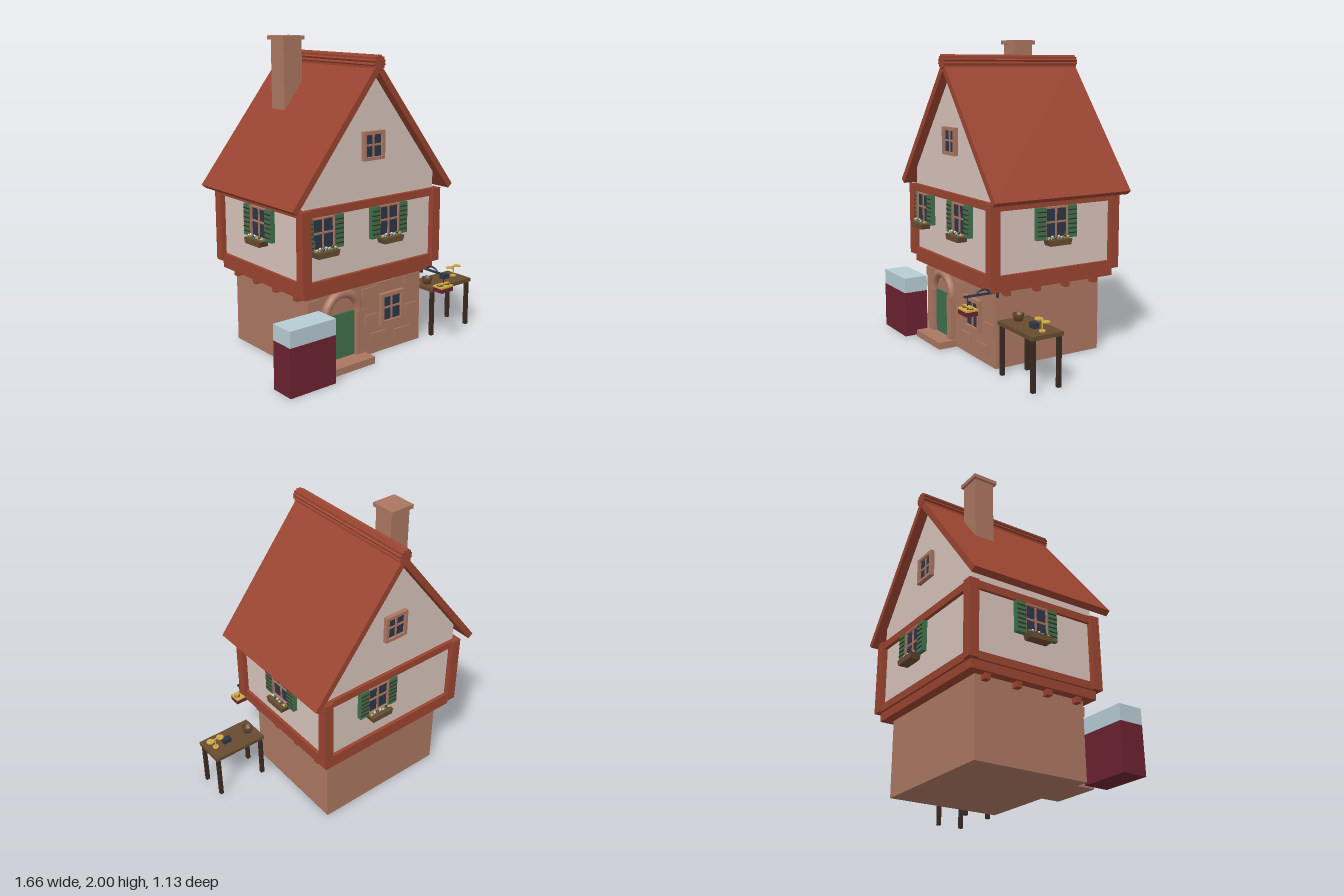
import * as THREE from 'three';

const mat = (name, color) => {
  const m = new THREE.MeshStandardMaterial({ color });
  m.name = name;
  return m;
};

export function createModel() {
  const timber = mat('red timber and tile', 0x9a4430);
  const plaster = mat('pale plaster', 0xd8c3bb);
  const stone = mat('brown stone', 0xab7762);
  const pane = mat('dark pane', 0x2d3647);
  const green = mat('green paint', 0x41704c);
  const wood = mat('brown wood', 0x674b2f);
  const darkWood = mat('dark wood', 0x3a2a20);
  const maroon = mat('maroon cloth', 0x6b2231);
  const glass = mat('pale glass', 0xb7ccd4);
  const brass = mat('brass', 0xd0ac45);

  const house = new THREE.Group();
  house.name = 'house';
  const CX = -0.095, CZ = -0.06;

  const add = (parent, name, geo, m, x = 0, y = 0, z = 0) => {
    const mesh = new THREE.Mesh(geo, m);
    mesh.name = name;
    mesh.position.set(x, y, z);
    parent.add(mesh);
    return mesh;
  };
  // box given by its limits on each axis
  const box = (parent, name, m, x0, x1, y0, y1, z0, z1) =>
    add(parent, name, new THREE.BoxGeometry(x1 - x0, y1 - y0, z1 - z0), m,
      (x0 + x1) / 2, (y0 + y1) / 2, (z0 + z1) / 2);
  const group = (name, x = 0, y = 0, z = 0, turn = 0) => {
    const g = new THREE.Group();
    g.name = name;
    g.position.set(x, y, z);
    g.rotation.y = turn;
    house.add(g);
    return g;
  };
  const extrude = (points, z0, z1) => {
    const shape = new THREE.Shape(points.map(([x, y]) => new THREE.Vector2(x, y)));
    return new THREE.ExtrudeGeometry(shape, { depth: z1 - z0, bevelEnabled: false }).translate(0, 0, z0);
  };

  // ground floor, upper floor and gable
  box(house, 'groundFloor', stone, -0.56, 0.37, 0, 0.5, -0.44, 0.33);
  box(house, 'upperFloor', plaster, CX - 0.52, CX + 0.52, 0.5, 1.04, CZ - 0.435, CZ + 0.435);
  add(house, 'gable', extrude([[-0.52, 1.03], [0.52, 1.03], [0.52, 1.15], [0, 1.81], [-0.52, 1.15]],
    CZ - 0.433, CZ + 0.433), plaster, CX);

  // relief stones on the front wall
  [[-0.56, 0.4, 0.09, 0.06], [-0.13, 0.39, 0.11, 0.06], [0.23, 0.41, 0.13, 0.07], [-0.11, 0.2, 0.1, 0.07],
    [0.24, 0.2, 0.11, 0.07], [-0.06, 0.08, 0.13, 0.06], [0.14, 0.06, 0.14, 0.06], [-0.02, 0.42, 0.16, 0.05]]
    .forEach(([x, y, w, h]) => box(house, 'wallStone', stone, x, x + w, y, y + h, 0.325, 0.339));

  // timber frame: beam rings, corner posts and joists
  const ring = (name, hx, hz, y0, y1, t) => {
    for (const s of [-1, 1]) {
      const x = CX + s * (hx - t / 2), z = CZ + s * (hz - t / 2);
      box(house, name, timber, CX - hx, CX + hx, y0, y1, z - t / 2, z + t / 2);
      box(house, name, timber, x - t / 2, x + t / 2, y0, y1, CZ - hz + t, CZ + hz - t);
    }
  };
  ring('sillBeam', 0.525, 0.443, 0.495, 0.552, 0.09);
  ring('lowerBeam', 0.54, 0.458, 0.55, 0.598, 0.06);
  ring('topBeam', 0.54, 0.458, 0.988, 1.037, 0.06);
  for (const sx of [-1, 1]) for (const sz of [-1, 1]) {
    const x = CX + sx * 0.523, z = CZ + sz * 0.441;
    box(house, 'cornerPost', timber, x - 0.032, x + 0.032, 0.55, 1.036, z - 0.032, z + 0.032);
  }
  for (const z of [0.265, 0.05, -0.165, -0.38])
    box(house, 'joist', timber, CX - 0.51, CX + 0.51, 0.46, 0.5, z - 0.018, z + 0.018);
  box(house, 'floorUnderside', timber, CX - 0.5, CX + 0.5, 0.497, 0.51, CZ - 0.42, CZ + 0.42);

  // roof chevron with lumpy ridge
  add(house, 'roof', extrude([[-0.64, 1.055], [-0.608, 1.03], [0, 1.8], [0.608, 1.03], [0.64, 1.055], [0, 1.865]],
    -0.555, 0.432), timber, CX);
  const ridge = group('ridge', CX, 1.857, CZ);
  for (const a of [0, Math.PI / 6, Math.PI / 3])
    add(ridge, 'ridgeTile', new THREE.BoxGeometry(0.066, 0.066, 1.0), timber).rotation.z = a;

  // chimney
  box(house, 'chimney', stone, -0.35, -0.212, 1.3, 1.98, -0.302, -0.165);
  box(house, 'chimneyCap', stone, -0.366, -0.2, 1.974, 2, -0.318, -0.15);

  // window facing +z, centred on its own origin
  const windowUnit = (parent, w, h, rim) => {
    const hw = w / 2, hh = h / 2;
    box(parent, 'pane', pane, -hw + 0.005, hw - 0.005, -hh + 0.005, hh - 0.005, 0, 0.012);
    for (const s of [-1, 1]) {
      const x = s * (hw - rim / 2), y = s * (hh - rim / 2);
      box(parent, 'frameSide', stone, x - rim / 2, x + rim / 2, -hh, hh, -0.005, 0.028);
      box(parent, 'frameRail', stone, -hw + rim, hw - rim, y - rim / 2, y + rim / 2, -0.005, 0.028);
    }
    box(parent, 'mullion', stone, -0.006, 0.006, -hh, hh, 0, 0.018);
    box(parent, 'transom', stone, -hw, hw, -0.002, 0.01, 0, 0.018);
  };
  windowUnit(group('gableWindowFront', CX, 1.363, CZ + 0.433), 0.166, 0.176, 0.02);
  windowUnit(group('gableWindowBack', CX, 1.363, CZ - 0.433, Math.PI), 0.166, 0.176, 0.02);
  windowUnit(group('groundWindow', 0.108, 0.287, 0.33), 0.195, 0.207, 0.024);

  // shuttered windows with flower boxes
  const blooms = [brass, glass, maroon, glass, brass, pane, brass];
  const shuttered = (x, z, turn) => {
    const g = group('shutteredWindow', x, 0.885, z, turn);
    windowUnit(g, 0.17, 0.2, 0.01);
    for (const s of [-1, 1]) {
      const cx = s * 0.113;
      box(g, 'shutter', green, cx - 0.034, cx + 0.034, -0.1, 0.1, 0, 0.03);
      for (let i = 0; i < 6; i++) {
        const y = -0.072 + i * 0.029;
        box(g, 'louvreGap', darkWood, cx - 0.03, cx + 0.03, y - 0.003, y + 0.003, 0.029, 0.034);
      }
    }
    const trough = add(g, 'flowerBox', extrude([[-0.075, -0.135], [0.075, -0.135], [0.086, -0.1], [-0.086, -0.1]],
      0, 0.066), wood);
    trough.position.z = 0.005;
    blooms.forEach((m, i) => {
      const fx = -0.07 + i * 0.0233, fy = -0.088 + (i % 2) * 0.008;
      add(g, 'leaf', new THREE.IcosahedronGeometry(0.011, 0), green, fx, -0.098, 0.04);
      add(g, 'flower', new THREE.IcosahedronGeometry(0.009, 0), m, fx, fy, 0.046);
    });
  };
  shuttered(-0.485, CZ + 0.435, 0);
  shuttered(0.03, CZ + 0.435, 0);
  shuttered(0.03, CZ - 0.435, Math.PI);
  shuttered(CX + 0.52, CZ, Math.PI / 2);
  shuttered(CX - 0.52, CZ, -Math.PI / 2);

  // door with arch, jambs and step
  const door = group('doorway', -0.303, 0, 0.33);
  box(door, 'door', green, -0.1, 0.1, 0.045, 0.335, 0, 0.012);
  add(door, 'arch', new THREE.TorusGeometry(0.128, 0.03, 8, 20, Math.PI), stone, 0, 0.335, 0.008);
  for (const s of [-1, 1])
    box(door, 'jamb', stone, s * 0.129 - 0.029, s * 0.129 + 0.029, 0.04, 0.336, 0, 0.037);
  box(door, 'step', stone, -0.168, 0.17, 0, 0.045, -0.01, 0.13);

  // shop counter with glass case
  box(house, 'counter', maroon, -0.833, -0.502, 0, 0.302, 0.365, 0.53);
  box(house, 'counterCase', glass, -0.833, -0.502, 0.304, 0.405, 0.365, 0.53);

  // table and its wares
  const table = group('table', 0.643, 0, 0.257);
  box(table, 'tableTop', wood, -0.188, 0.188, 0.31, 0.335, -0.108, 0.108);
  for (const sx of [-1, 1]) for (const sz of [-1, 1]) {
    const x = sx * 0.168, z = sz * 0.088;
    box(table, 'tableLeg', darkWood, x - 0.012, x + 0.012, 0, 0.312, z - 0.012, z + 0.012);
  }
  const bowl = [[0, 0], [0.027, 0], [0.036, 0.042], [0.029, 0.042], [0.022, 0.012], [0, 0.012]];
  add(table, 'bowl', new THREE.LatheGeometry(bowl.map(([r, y]) => new THREE.Vector2(r, y)), 14), wood,
    -0.128, 0.335, 0);
  box(table, 'inkBox', pane, 0.013, 0.07, 0.335, 0.368, -0.018, 0.018);
  const rod = (parent, name, r, h, m, x, y, z) =>
    add(parent, name, new THREE.CylinderGeometry(r, r, h, 14), m, x, y, z);
  rod(table, 'scaleFoot', 0.02, 0.008, brass, 0.127, 0.339, 0);
  rod(table, 'scalePost', 0.005, 0.075, brass, 0.127, 0.37, 0);
  box(table, 'scaleBar', brass, 0.09, 0.164, 0.4, 0.408, -0.004, 0.004);
  for (const s of [-1, 1]) rod(table, 'scalePan', 0.025, 0.007, brass, 0.127 + s * 0.037, 0.402, 0);

  // hanging sign on an iron bracket
  const sign = group('hangingSign', 0.388, 0, 0);
  box(sign, 'bracketArm', pane, -0.007, 0.007, 0.483, 0.495, 0.33, 0.553);
  box(sign, 'bracketPlate', pane, -0.008, 0.008, 0.455, 0.515, 0.32, 0.334);
  const scroll = new THREE.CatmullRomCurve3([[0.37, 0.485], [0.39, 0.508], [0.43, 0.516], [0.465, 0.505], [0.48, 0.485]]
    .map(([z, y]) => new THREE.Vector3(0, y, z)));
  add(sign, 'bracketScroll', new THREE.TubeGeometry(scroll, 16, 0.006, 6), pane);
  rod(sign, 'chain', 0.004, 0.065, pane, 0, 0.458, 0.532);
  box(sign, 'signBase', maroon, -0.053, 0.053, 0.38, 0.408, 0.49, 0.568);
  box(sign, 'signPlate', brass, -0.054, 0.054, 0.408, 0.419, 0.489, 0.569);
  box(sign, 'signBar', brass, -0.045, 0.045, 0.426, 0.434, 0.524, 0.54);
  for (const s of [-1, 1]) {
    rod(sign, 'signHanger', 0.004, 0.02, brass, s * 0.03, 0.424, 0.532);
    add(sign, 'signRing', new THREE.TorusGeometry(0.016, 0.005, 6, 14), wood, s * 0.027, 0.421, 0.53)
      .rotation.x = Math.PI / 2;
  }
  return house;
}
